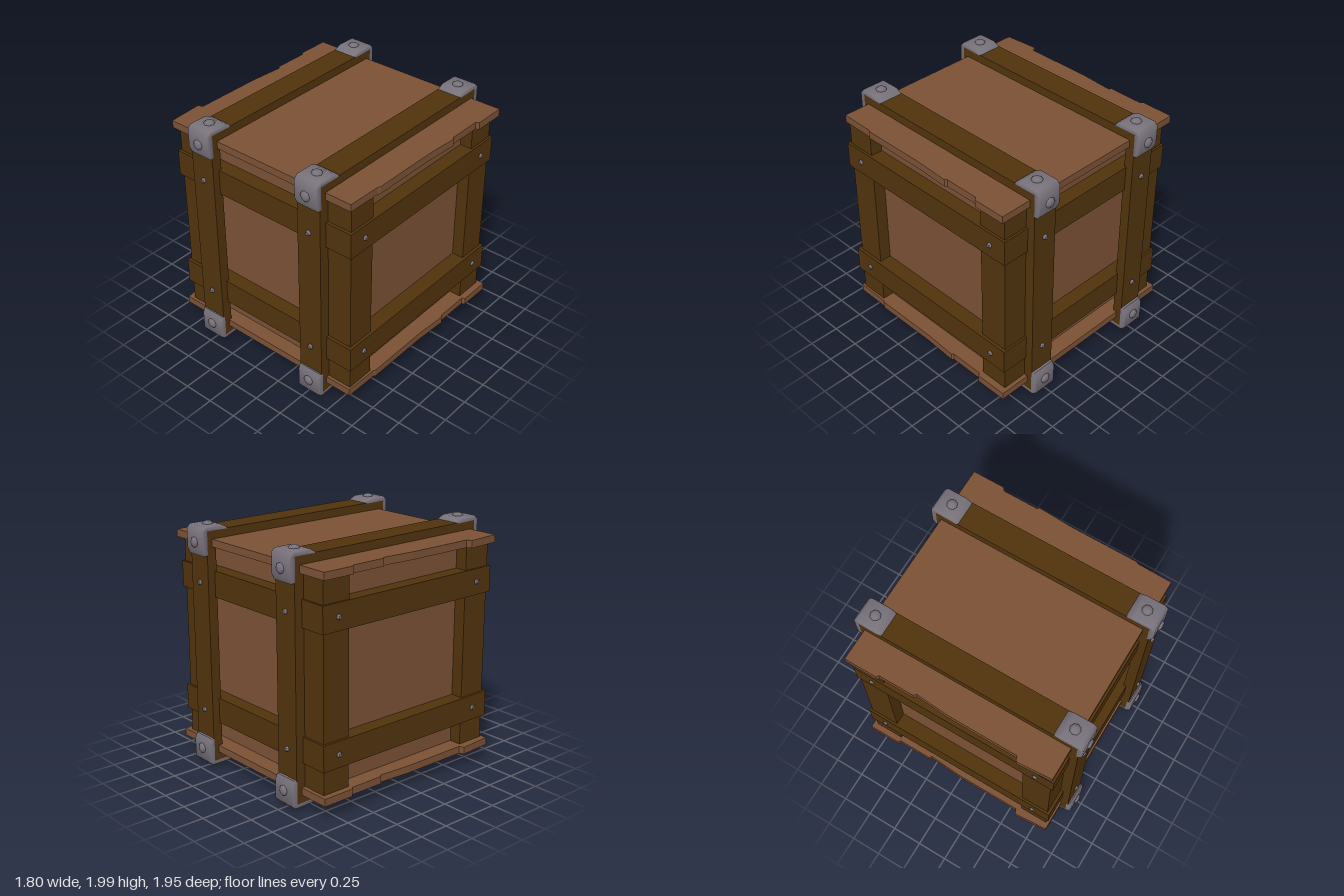
import * as THREE from 'three';
import { toCreasedNormals } from 'three/addons/utils/BufferGeometryUtils.js';

export function createModel() {
  const mat = (name, color) => new THREE.MeshStandardMaterial({ name, color });
  const lightWood = mat('light wood', 0x7b5135);
  const darkWood = mat('dark wood', 0x51330d);
  const metal = mat('grey metal', 0x78727b);

  const crate = new THREE.Group();
  crate.name = 'crate';

  const add = (parent, name, geometry, material) => {
    const mesh = new THREE.Mesh(geometry, material);
    mesh.name = name;
    parent.add(mesh);
    return mesh;
  };
  // Box given by its limits on each axis
  const box = (name, material, [x0, x1], [y0, y1], [z0, z1]) => {
    const mesh = add(crate, name, new THREE.BoxGeometry(x1 - x0, y1 - y0, z1 - z0), material);
    mesh.position.set((x0 + x1) / 2, (y0 + y1) / 2, (z0 + z1) / 2);
  };
  // Domed bolt head rising along the given direction
  const up = new THREE.Vector3(0, 1, 0);
  const bolt = (parent, name, radius, height, position, direction) => {
    const sink = 0.01;
    const profile = [[radius, -sink], [radius, height * 0.35], [radius * 0.6, height], [0, height]];
    const geometry = new THREE.LatheGeometry(profile.map(([r, y]) => new THREE.Vector2(r, y)), 8);
    const mesh = add(parent, name, toCreasedNormals(geometry, 0.9), metal);
    mesh.position.set(...position);
    mesh.quaternion.setFromUnitVectors(up, new THREE.Vector3(...direction));
  };

  // Inner panels
  box('panels', lightWood, [-0.73, 0.745], [0.15, 1.86], [-0.735, 0.745]);

  // Lid and base with uneven plank ends
  const outline = [
    [-0.88, -0.868], [-0.88, -0.6], [-0.86, -0.585], [-0.86, -0.295], [-0.84, -0.28], [-0.86, 0],
    [-0.86, 0.565], [-0.9, 0.58], [-0.88, 0.865], [0.86, 0.865], [0.865, 0.58], [0.875, 0.565],
    [0.875, 0], [0.89, -0.28], [0.875, -0.295], [0.875, -0.585], [0.9, -0.6], [0.9, -0.868],
  ];
  const slabShape = new THREE.Shape(outline.map(([x, z]) => new THREE.Vector2(x, -z)));
  const slab = new THREE.ExtrudeGeometry(slabShape, { depth: 0.06, bevelEnabled: false });
  slab.rotateX(-Math.PI / 2);
  add(crate, 'lid', slab, lightWood).position.y = 1.82;
  add(crate, 'base', slab, lightWood).position.y = 0.13;

  // Corner posts
  for (const x of [[-0.83, -0.59], [0.605, 0.845]])
    for (const z of [[-0.835, -0.595], [0.6, 0.84]])
      box('cornerPost', darkWood, x, [0.19, 1.82], z);

  // Horizontal battens around the sides, with their bolts
  for (const [y0, y1, left, right] of [[0.38, 0.59, -0.85, 0.87], [1.42, 1.63, -0.845, 0.865]]) {
    const y = [y0, y1];
    box('frontBatten', darkWood, [left, right], y, [0.72, 0.865]);
    box('backBatten', darkWood, [left, right], y, [-0.852, -0.71]);
    box('rightBatten', darkWood, [left, -0.7], y, [-0.71, 0.72]);
    box('leftBatten', darkWood, [0.72, right], y, [-0.71, 0.72]);
    for (const z of [-0.705, 0.71]) {
      bolt(crate, 'battenBolt', 0.021, 0.017, [left, (y0 + y1) / 2, z], [-1, 0, 0]);
      bolt(crate, 'battenBolt', 0.021, 0.017, [right, (y0 + y1) / 2, z], [1, 0, 0]);
    }
  }

  // Metal corner bracket: L profile in z and y, bevelled along both sides
  const profile = [
    [0.71, 0.93], [0.72, 0.95], [0.77, 0.975], [0.925, 0.975], [0.955, 0.945],
    [0.955, 0.79], [0.935, 0.745], [0.9, 0.745], [0.9, 0.93],
  ];
  const bevel = 0.015, bracketWidth = 0.216;
  const bracket = new THREE.ExtrudeGeometry(
    new THREE.Shape(profile.map(([z, y]) => new THREE.Vector2(z, y))),
    {
      depth: bracketWidth - 2 * bevel, bevelThickness: bevel,
      bevelSize: bevel, bevelOffset: -bevel, bevelSegments: 2,
    },
  );
  bracket.translate(0, 0, bevel - bracketWidth / 2);
  bracket.rotateY(-Math.PI / 2);
  const bracketGeometry = toCreasedNormals(bracket, 0.9);

  // Two wooden straps, each bolted and capped by four brackets
  const corners = [[0, 0, 0], [0, Math.PI, 0], [Math.PI, 0, 0], [0, 0, Math.PI]];
  for (const cx of [-0.513, 0.53]) {
    const x = [cx - 0.106, cx + 0.106];
    box('strapTop', darkWood, x, [1.88, 1.948], [-0.915, 0.925]);
    box('strapBottom', darkWood, x, [0.06, 0.13], [-0.915, 0.925]);
    box('strapFront', darkWood, x, [0.13, 1.88], [0.84, 0.925]);
    box('strapBack', darkWood, x, [0.13, 1.88], [-0.915, -0.835]);
    for (const y of [0.48, 1.53]) {
      bolt(crate, 'strapBolt', 0.021, 0.02, [cx, y, 0.925], [0, 0, 1]);
      bolt(crate, 'strapBolt', 0.021, 0.02, [cx, y, -0.915], [0, 0, -1]);
    }
    for (const rotation of corners) {
      const corner = new THREE.Group();
      corner.name = 'cornerBracket';
      add(corner, 'bracketPlate', bracketGeometry, metal);
      bolt(corner, 'bracketBolt', 0.042, 0.02, [0, 0.847, 0.955], [0, 0, 1]);
      bolt(corner, 'bracketBolt', 0.042, 0.02, [0, 0.975, 0.83], [0, 1, 0]);
      corner.position.set(cx, 1.005, 0);
      corner.rotation.set(...rotation);
      crate.add(corner);
    }
  }

  return crate;
}
